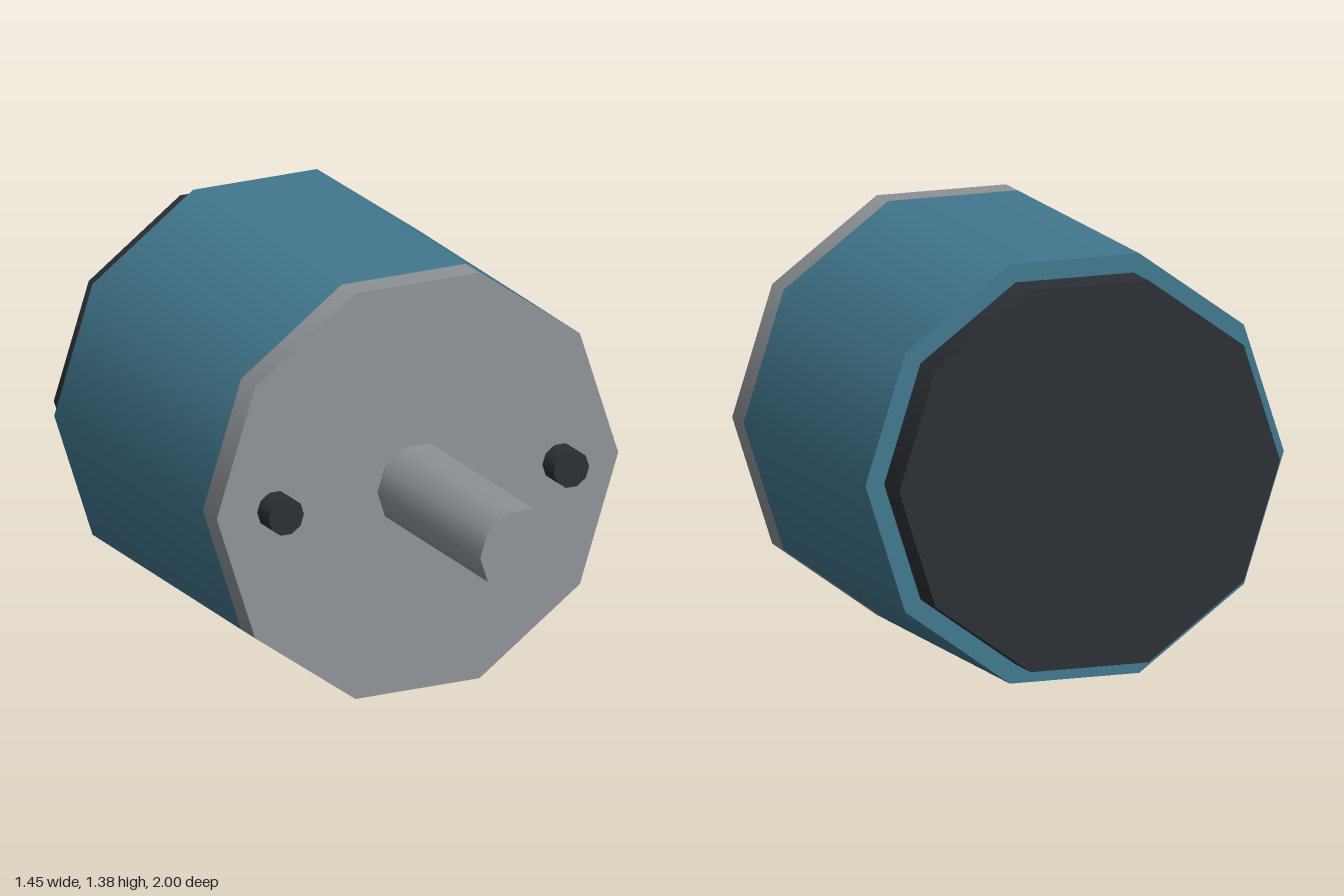
import * as THREE from 'three';

const SIDES = 10;
const RADIUS = 0.725;
const AXIS_Y = RADIUS * Math.sin(Math.PI * 0.4); // decagon resting on its flat side

export function createModel() {
  const motor = new THREE.Group();
  motor.name = 'motor';

  const steel = new THREE.MeshStandardMaterial({ color: 0x8f9498 });
  const blue = new THREE.MeshStandardMaterial({ color: 0x437990 });
  const black = new THREE.MeshStandardMaterial({ color: 0x2c3036 });

  // Ten-sided cylinder along z, with corners on the left and right
  function drum(name, radius, zBack, zFront, material, x = 0) {
    const geometry = new THREE.CylinderGeometry(
      radius, radius, zFront - zBack, SIDES, 1, false, Math.PI / 2);
    geometry.rotateX(Math.PI / 2);
    const mesh = new THREE.Mesh(geometry, material);
    mesh.name = name;
    mesh.position.set(x, AXIS_Y, (zBack + zFront) / 2);
    motor.add(mesh);
  }

  // Housing with its end plates
  drum('rearCap', 0.66, -1, -0.87, black);
  drum('housing', RADIUS, -0.87, 0.177, blue);
  drum('frontPlate', RADIUS, 0.177, 0.275, steel);

  // Output shaft
  drum('shaft', 0.145, 0.275, 1, steel);

  // Mounting bolts either side of the shaft
  drum('leftBolt', 0.064, 0.275, 0.355, black, 0.515);
  drum('rightBolt', 0.064, 0.275, 0.355, black, -0.515);

  return motor;
}
